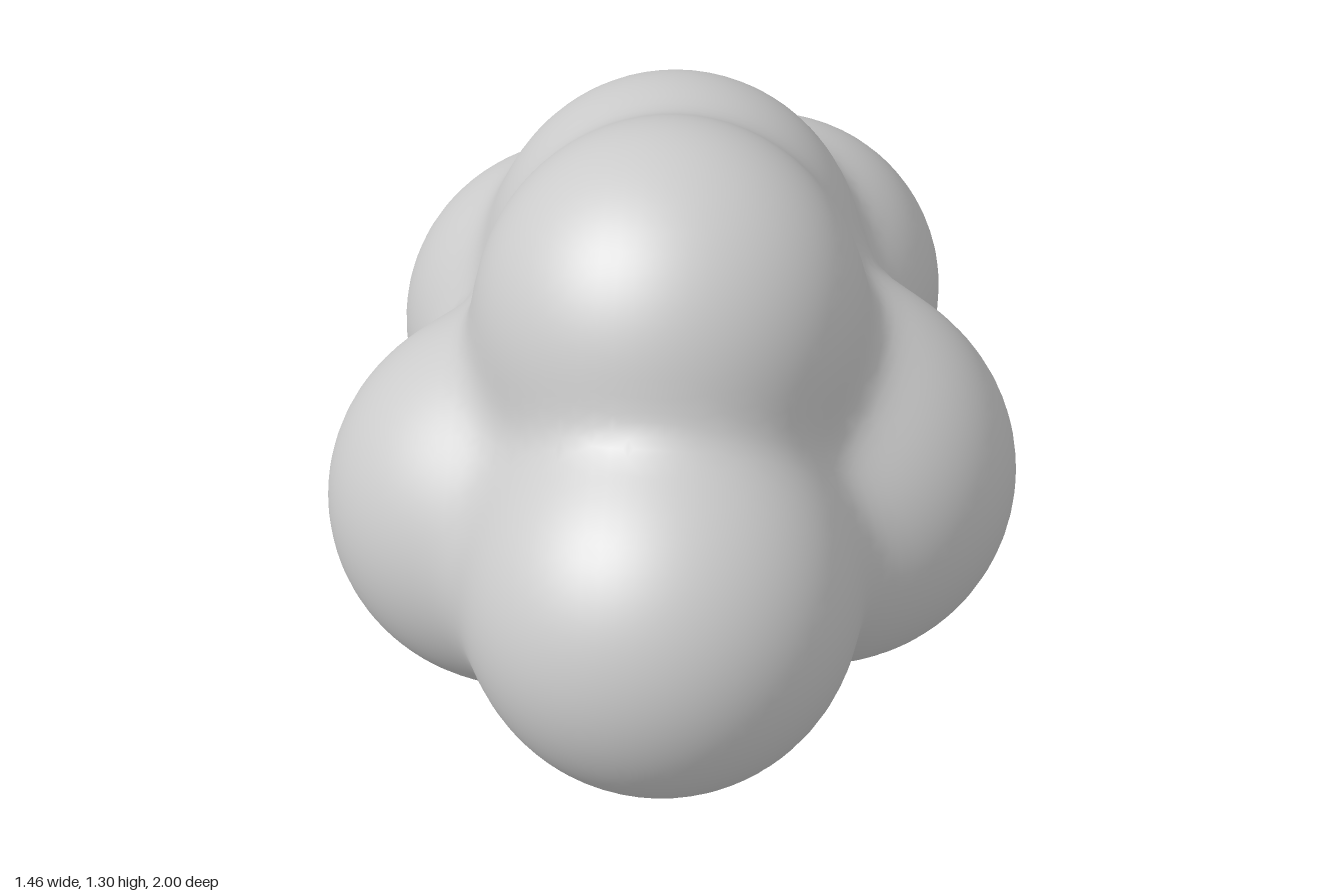
import * as THREE from 'three';

// Puffs of the cloud: centre x, y, z and radius
const PUFFS = [
  [0.015, 0.46, 0.6, 0.4], // front
  [0, 0.9, 0.22, 0.4], // top
  [-0.03, 0.77, -0.22, 0.4], // upper back
  [-0.33, 0.41, 0.2, 0.405], // right side
  [0.31, 0.425, 0.07, 0.42], // left side
  [0.15, 0.46, -0.6, 0.4], // back left
  [-0.27, 0.445, -0.45, 0.4], // back right
];
const BLEND = 0.053;
const STEP = 0.035;
const MIN = [-0.9, -0.14, -1.15];
const COUNT = [52, 46, 66];

// Smooth union of all puffs: negative inside
function field(x, y, z) {
  let sum = 0;
  for (const [cx, cy, cz, r] of PUFFS) sum += Math.exp((r - Math.hypot(x - cx, y - cy, z - cz)) / BLEND);
  return -BLEND * Math.log(sum);
}

function gradient([x, y, z]) {
  const e = 0.001;
  return new THREE.Vector3(
    field(x + e, y, z) - field(x - e, y, z),
    field(x, y + e, z) - field(x, y - e, z),
    field(x, y, z + e) - field(x, y, z - e),
  ).divideScalar(2 * e);
}

// Surface net over a regular grid: one vertex per crossed cell, one quad per crossed edge
function blendedSurface() {
  const [nx, ny, nz] = COUNT;
  const stride = [1, nx, nx * ny];
  const at = (i, j, k) => i + nx * (j + ny * k);
  const values = new Float32Array(nx * ny * nz);
  const eachCell = (start, end, visit) => {
    for (let k = start; k < nz - end; k++)
      for (let j = start; j < ny - end; j++)
        for (let i = start; i < nx - end; i++) visit(i, j, k);
  };
  eachCell(0, 0, (i, j, k) => {
    values[at(i, j, k)] = field(MIN[0] + i * STEP, MIN[1] + j * STEP, MIN[2] + k * STEP);
  });

  const positions = [], normals = [], indices = [];
  const vertexOf = new Map();

  eachCell(0, 1, (i, j, k) => {
    const sum = [0, 0, 0];
    let hits = 0;
    for (let corner = 0; corner < 8; corner++) {
      const o = [corner & 1, (corner >> 1) & 1, corner >> 2];
      const id = at(i + o[0], j + o[1], k + o[2]);
      for (let a = 0; a < 3; a++) {
        if (o[a]) continue;
        const f = values[id], g = values[id + stride[a]];
        if (f < 0 === g < 0) continue;
        for (let b = 0; b < 3; b++) sum[b] += o[b] + (b === a ? f / (f - g) : 0);
        hits++;
      }
    }
    if (!hits) return;
    const p = [i, j, k].map((n, a) => MIN[a] + (n + sum[a] / hits) * STEP);
    // Settle the vertex onto the exact surface
    for (let n = 0; n < 2; n++) {
      const g = gradient(p);
      const d = field(...p) / Math.max(g.lengthSq(), 0.1);
      p[0] -= g.x * d;
      p[1] -= g.y * d;
      p[2] -= g.z * d;
    }
    vertexOf.set(at(i, j, k), positions.length / 3);
    positions.push(...p);
    normals.push(...gradient(p).normalize().toArray());
  });

  eachCell(1, 1, (i, j, k) => {
    const id = at(i, j, k);
    for (let a = 0; a < 3; a++) {
      const inside = values[id] < 0;
      if (inside === values[id + stride[a]] < 0) continue;
      const b = stride[(a + 1) % 3], c = stride[(a + 2) % 3];
      const q = [id - b - c, id - c, id, id - b].map((n) => vertexOf.get(n));
      if (!inside) q.reverse();
      indices.push(q[0], q[1], q[2], q[0], q[2], q[3]);
    }
  });

  const geometry = new THREE.BufferGeometry();
  geometry.setAttribute('position', new THREE.Float32BufferAttribute(positions, 3));
  geometry.setAttribute('normal', new THREE.Float32BufferAttribute(normals, 3));
  geometry.setIndex(indices);
  return geometry;
}

export function createModel() {
  const group = new THREE.Group();
  group.name = 'cloud';
  const body = new THREE.Mesh(blendedSurface(), new THREE.MeshStandardMaterial({ color: 0xcccccc }));
  body.name = 'cloudPuffs';
  group.add(body);
  return group;
}
